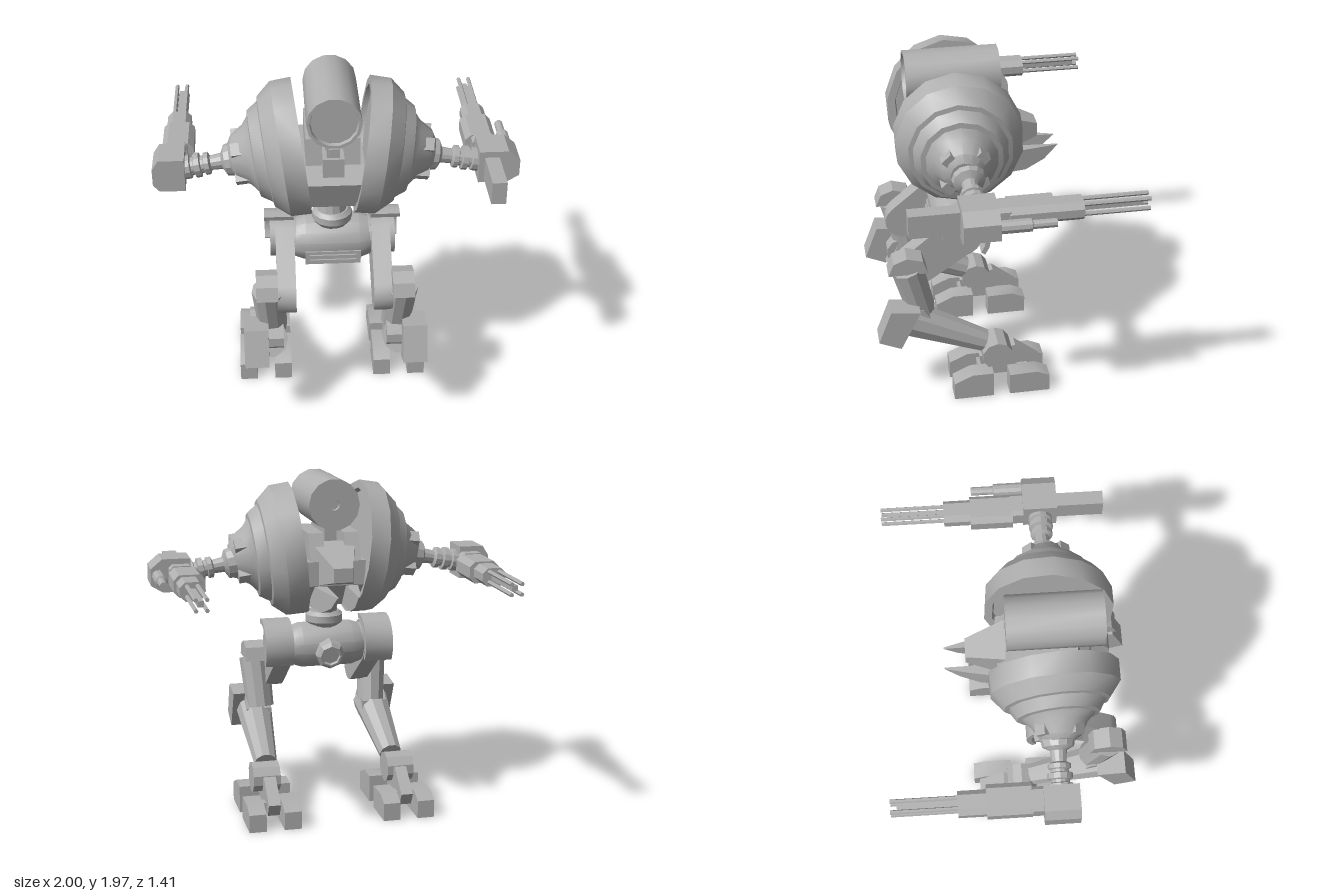
import * as THREE from 'three';
import { toCreasedNormals } from 'three/addons/utils/BufferGeometryUtils.js';

const grey = new THREE.MeshStandardMaterial({ color: 0xb0b0b0 });
grey.name = 'grey metal';
const UP = new THREE.Vector3(0, 1, 0);
const V = (x, y, z) => new THREE.Vector3(x, y, z);

// Box given by its limits
function box(x0, x1, y0, y1, z0, z1) {
  return new THREE.BoxGeometry(x1 - x0, y1 - y0, z1 - z0)
    .translate((x0 + x1) / 2, (y0 + y1) / 2, (z0 + z1) / 2);
}

// Side outline of [z, y] points, extruded from x0 to x1
function side(points, x0, x1) {
  const shape = new THREE.Shape(points.map(([z, y]) => new THREE.Vector2(-z, y)));
  return new THREE.ExtrudeGeometry(shape, { depth: x1 - x0, bevelEnabled: false })
    .rotateY(Math.PI / 2).translate(x0, 0, 0);
}

// Front outline of [x, y] points, extruded from z0 to z1
function front(points, z0, z1) {
  const shape = new THREE.Shape(points.map(([x, y]) => new THREE.Vector2(x, y)));
  return new THREE.ExtrudeGeometry(shape, { depth: z1 - z0, bevelEnabled: false }).translate(0, 0, z0);
}

// Box along z with chamfered long edges
function chamfered(x0, x1, y0, y1, z0, z1, c) {
  return front([[x0 + c, y0], [x1 - c, y0], [x1, y0 + c], [x1, y1 - c],
    [x1 - c, y1], [x0 + c, y1], [x0, y1 - c], [x0, y0 + c]], z0, z1);
}

// Turned part: [radius, distance] profile along a direction
function turned(profile, n, origin, dir, squash = 1) {
  const q = new THREE.Quaternion().setFromUnitVectors(UP, dir.clone().normalize());
  return new THREE.LatheGeometry(profile.map(([r, d]) => new THREE.Vector2(r, d)), n)
    .rotateY(Math.PI / 2).scale(1, 1, squash)
    .applyQuaternion(q).translate(origin.x, origin.y, origin.z);
}

// Straight round rod between two points
function rod(a, b, r0, r1 = r0, n = 12) {
  const d = b.clone().sub(a), len = d.length();
  return turned([[0, 0], [r0, 0], [r1, len], [0, len]], n, a, d);
}

// Points on an arc in the [z, y] plane
function arc(z, y, r, from, to, n = 8) {
  return Array.from({ length: n + 1 }, (_, i) => {
    const a = from + (to - from) * i / n;
    return [z + r * Math.cos(a), y + r * Math.sin(a)];
  });
}

// Move every vertex by a rule
function bend(geo, rule) {
  const p = geo.attributes.position, v = V(0, 0, 0);
  for (let i = 0; i < p.count; i++) {
    rule(v.fromBufferAttribute(p, i));
    p.setXYZ(i, v.x, v.y, v.z);
  }
  return geo;
}

// Mirror in x, keeping faces turned outward
function mirrored(geo) {
  const g = geo.index ? geo.toNonIndexed() : geo.clone();
  const p = g.attributes.position, a = V(0, 0, 0), b = V(0, 0, 0);
  for (let i = 0; i < p.count; i += 3) {
    a.fromBufferAttribute(p, i + 1);
    b.fromBufferAttribute(p, i + 2);
    p.setX(i, -p.getX(i));
    p.setXYZ(i + 1, -b.x, b.y, b.z);
    p.setXYZ(i + 2, -a.x, a.y, a.z);
  }
  g.computeVertexNormals();
  return g;
}

export function createModel() {
  const model = new THREE.Group();
  model.name = 'walkingMachine';
  const add = (name, geo) => {
    const mesh = new THREE.Mesh(toCreasedNormals(geo, 0.5), grey);
    mesh.name = name;
    mesh.position.x = -0.025;
    model.add(mesh);
  };
  const pair = (name, geo) => {
    add(name + 'Left', geo);
    add(name + 'Right', mirrored(geo));
  };

  // Body: top drum, cockpit and tail
  add('topDrum', turned([[0, 0.03], [0.03, 0.03], [0.03, 0], [0.147, 0], [0.147, 0.515],
    [0.13, 0.515], [0.125, 0.495], [0, 0.495]], 14, V(0, 1.83, -0.05), V(0, 0, 1)));
  add('drumMount', box(-0.035, 0.035, 1.48, 1.7, 0.05, 0.38));
  add('sensor', box(-0.03, 0.03, 1.62, 1.66, 0.38, 0.43));
  add('hull', bend(side([[0.42, 1.43], [0.36, 1.26], [0, 1.25], [-0.1, 1.38], [-0.1, 1.52], [0.36, 1.52]],
    -0.17, 0.17), (v) => { if (v.y < 1.3) v.x *= 0.9; }));
  pair('cockpitPillar', side([[0.37, 1.42], [0.33, 1.67], [-0.02, 1.67], [-0.1, 1.5]], 0.06, 0.147));
  add('cockpitBox', box(-0.058, 0.058, 1.47, 1.58, 0.3, 0.4));
  add('tailWedge', bend(side([[0, 1.62], [-0.27, 1.51], [-0.27, 1.43], [0, 1.36]], -0.13, 0.13),
    (v) => { if (v.z < -0.2) v.x *= 0.42; }));
  pair('tailFin', bend(side([[0, 1.25], [0, 1.38], [-0.25, 1.375], [-0.39, 1.37], [-0.31, 1.295], [-0.2, 1.25]],
    0.055, 0.145), (v) => { if (v.x > 0.1) v.x -= Math.max(0, -v.z - 0.05) * 0.24; }));

  // Round stepped shells at the sides
  const shellDir = V(1, -0.123, 0.05);
  pair('shell', turned([[0, 0.03], [0.33, 0.03], [0.34, 0], [0.387, 0], [0.382, 0.115], [0.312, 0.195],
    [0.285, 0.2], [0.245, 0.26], [0.215, 0.265], [0.17, 0.3], [0.125, 0.37], [0.08, 0.395], [0, 0.395]],
  14, V(0.165, 1.552, 0.195), shellDir, 0.92));
  const brackets = new THREE.Group();
  brackets.name = 'shoulderBrackets';
  for (let i = 0; i < 4; i++) {
    const a = Math.PI / 4 + i * Math.PI / 2;
    pair('shoulderBracket' + i, box(-0.05, 0.035, 0.09, 0.15, -0.035, 0.035)
      .rotateX(a).rotateZ(-0.12).translate(0.5, 1.505, 0.205));
  }

  // Arms with ribbed elbows
  pair('arm', turned([[0, 0], [0.095, 0], [0.085, 0.05], [0.045, 0.07], [0.04, 0.13], [0.062, 0.14], [0.062, 0.165],
    [0.048, 0.17], [0.048, 0.185], [0.068, 0.19], [0.068, 0.22], [0.05, 0.225], [0.05, 0.24], [0.066, 0.245],
    [0.066, 0.29], [0, 0.29]], 12, V(0.53, 1.485, 0.195), V(1, -0.17, 0)));

  // Forearm guns, pointing to the rear
  const housing = (out, c) => front([[0.8, 1.345], [out - c, 1.345], [out, 1.385], [out, 1.48],
    [out - c, 1.535], [0.8, 1.535]], 0.1, 0.29);
  add('gunHousingLeft', housing(1.025, 0.065));
  add('gunHousingRight', mirrored(housing(0.975, 0.035)));
  pair('gunNeck', chamfered(0.79, 0.925, 1.37, 1.505, 0.03, 0.1, 0.02));
  pair('gunBody', chamfered(0.758, 0.932, 1.375, 1.5, -0.2, 0.04, 0.03));
  pair('gunShroud', chamfered(0.782, 0.918, 1.385, 1.49, -0.35, -0.2, 0.03));
  pair('gunCore', box(0.834, 0.866, 1.424, 1.456, -0.67, -0.35));
  for (const x of [-1, 1]) for (const y of [-1, 1]) {
    pair('barrel', rod(V(0.85 + x * 0.029, 1.44 + y * 0.029, -0.35),
      V(0.85 + x * 0.029, 1.44 + y * 0.029, -0.705), 0.012, 0.012, 6));
  }
  add('forwardBoxLeft', box(0.83, 0.91, 1.37, 1.5, 0.29, 0.555));
  add('sideTubeLeft', turned([[0, 0], [0.036, 0], [0.036, 0.16], [0.024, 0.165], [0.024, 0.29], [0, 0.29]],
    10, V(0.983, 1.44, 0.1), V(0, 0, -1)));

  // Waist and hips
  add('neck', rod(V(0, 1.15, 0.22), V(0, 1.3, 0.22), 0.085, 0.06));
  add('turretRing', turned([[0, 0], [0.09, 0], [0.112, 0.03], [0.112, 0.07], [0.09, 0.09], [0, 0.09]],
    14, V(0, 1.08, 0.22), UP));
  add('hipBarrel', turned([[0, -0.22], [0.11, -0.22], [0.135, -0.15], [0.135, 0.15], [0.11, 0.22], [0, 0.22]],
    14, V(0, 0.97, 0.205), V(1, 0, 0)));
  add('hipGrille', box(-0.155, 0.155, 0.87, 0.95, 0.25, 0.345));
  for (let i = 0; i < 2; i++) add('grilleBar' + i, box(-0.13, 0.13, 0.885 + i * 0.03, 0.902 + i * 0.03, 0.34, 0.355));
  add('rearKnob', turned([[0, 0], [0.085, 0], [0.085, 0.08], [0.065, 0.1], [0.055, 0.1], [0.05, 0.085], [0, 0.085]],
    8, V(0, 0.95, 0.12), V(0, -0.2, -1)));

  // Thighs
  const a = Math.atan2(-0.205, 0.27), h = Math.PI / 2;
  pair('thigh', side([...arc(0.205, 0.975, 0.125, a + h, a + 3 * h), ...arc(0.475, 0.77, 0.11, a - h, a + h)],
    0.215, 0.32));
  pair('hipDisc', rod(V(0.2, 0.975, 0.205), V(0.35, 0.975, 0.205), 0.112, 0.112, 14));
  pair('hipHood', side([...arc(0.205, 0.975, 0.16, 1.3, 3.8), ...arc(0.205, 0.975, 0.132, 3.8, 1.3)], 0.215, 0.38));

  // Lower legs
  pair('kneeCap', side([[0.63, 0.825], [0.6, 0.9], [0.525, 0.93], [0.435, 0.905], [0.41, 0.825]], 0.315, 0.435));
  pair('upperShin', rod(V(0.37, 0.83, 0.52), V(0.35, 0.53, 0.445), 0.092, 0.083, 10));
  pair('shinJoint', rod(V(0.29, 0.5, 0.49), V(0.44, 0.5, 0.49), 0.09, 0.09, 10));
  pair('shinGuard', side([[0.705, 0.43], [0.63, 0.63], [0.465, 0.61], [0.58, 0.375]], 0.375, 0.51));
  pair('lowerShin', rod(V(0.375, 0.5, 0.54), V(0.385, 0.285, 0.09), 0.11, 0.068, 10));
  pair('ankle', rod(V(0.325, 0.23, 0.02), V(0.485, 0.23, 0.02), 0.09, 0.09, 10));

  // Feet with four toes each
  pair('footBeam', side([[0.12, 0.2], [-0.09, 0.26], [-0.24, 0.14], [-0.2, 0.065], [0.1, 0.065]], 0.36, 0.43));
  pair('footFrontAxle', box(0.33, 0.46, 0.07, 0.13, 0.07, 0.13));
  pair('footRearAxle', box(0.33, 0.46, 0.07, 0.13, -0.16, -0.1));
  for (const x of [0.245, 0.45]) {
    pair('frontToe', side([[0.285, 0], [0.285, 0.11], [0.18, 0.16], [0.055, 0.16], [0.055, 0]], x, x + 0.1));
    pair('rearToe', side([[-0.04, 0], [-0.04, 0.135], [-0.2, 0.14], [-0.275, 0.105], [-0.275, 0]], x, x + 0.1));
  }
  return model;
}
